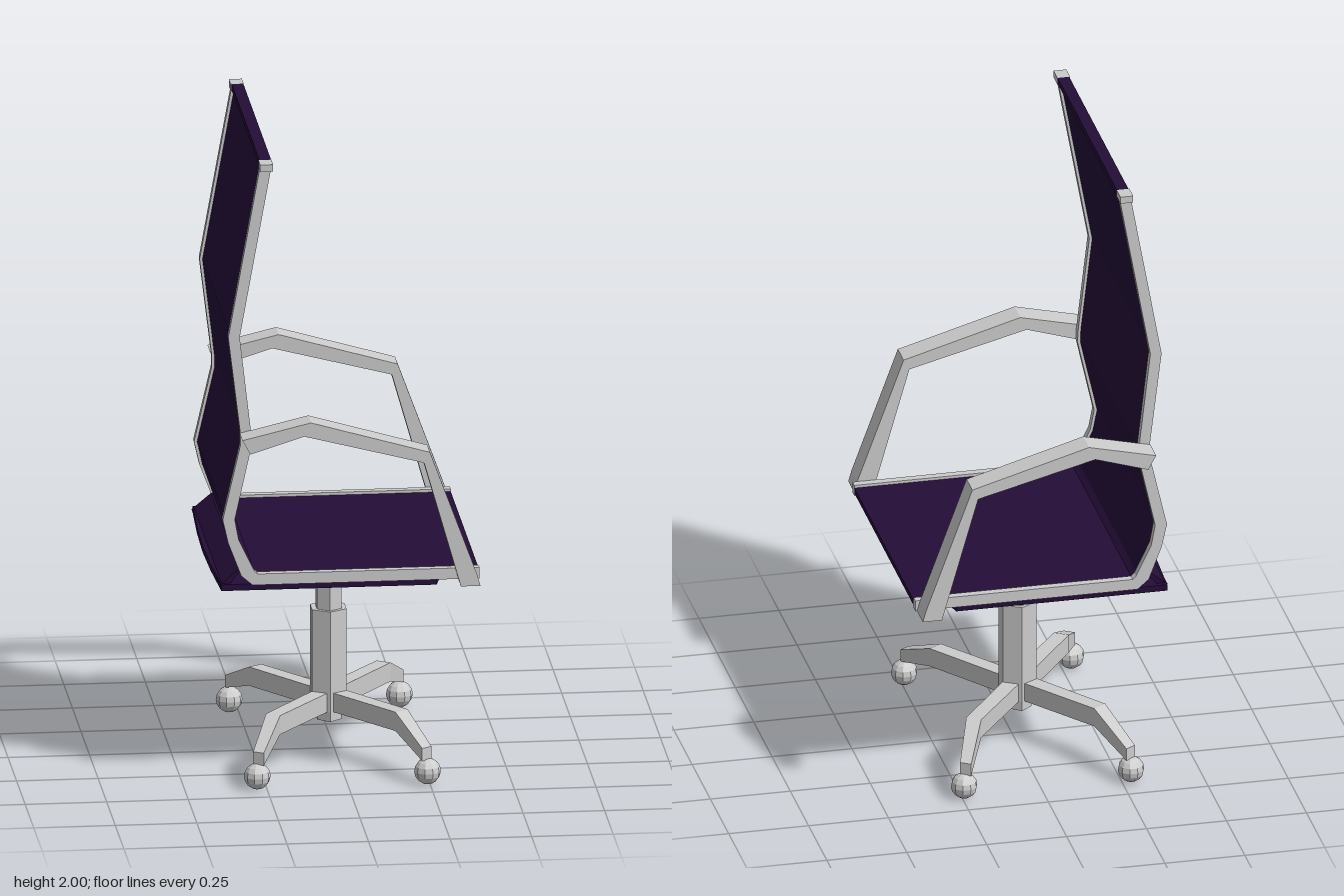
import * as THREE from 'three';

export function createModel() {
  const metal = new THREE.MeshStandardMaterial({ color: 0xcccccc });
  metal.name = 'light grey metal';
  const fabric = new THREE.MeshStandardMaterial({ color: 0x240d38 });
  fabric.name = 'dark purple fabric';

  const chair = new THREE.Group();
  chair.name = 'officeChair';

  const add = (name, geometry, material, x = 0, y = 0, z = 0) => {
    const mesh = new THREE.Mesh(geometry, material);
    mesh.name = name;
    mesh.position.set(x, y, z);
    chair.add(mesh);
    return mesh;
  };

  // Extrudes a side profile (x, y) from z0 to z1
  const slab = (points, z0, z1) => {
    const shape = new THREE.Shape(points.map(([x, y]) => new THREE.Vector2(x, y)));
    return new THREE.ExtrudeGeometry(shape, { depth: z1 - z0, bevelEnabled: false }).translate(0, 0, z0);
  };

  // Back and seat profile: rear/lower line and front/upper line
  const rear = [[-0.27, 2], [-0.37, 1.445], [-0.333, 1.14], [-0.333, 1.1], [-0.387, 0.865],
    [-0.37, 0.79], [-0.33, 0.685], [-0.295, 0.655], [0.4, 0.655]];
  const front = [[-0.235, 2], [-0.335, 1.445], [-0.3, 1.14], [-0.298, 1.1], [-0.35, 0.865],
    [-0.338, 0.8], [-0.29, 0.7], [-0.28, 0.69], [0.4, 0.69]];
  const band = (a, b) => {
    const mix = (t) => rear.map(([x, y], i) => [x + (front[i][0] - x) * t, y + (front[i][1] - y) * t]);
    return [...mix(a), ...mix(b).reverse()];
  };

  // Fabric sling for back and seat
  add('fabricSling', slab(band(0.25, 0.75), -0.405, 0.405), fabric);
  add('topHem', new THREE.BoxGeometry(0.036, 0.02, 0.81), fabric, -0.254, 1.99, 0);

  // Armrest loop profile
  const armrest = [[-0.335, 1.14], [-0.125, 1.19], [0.24, 1.085], [0.385, 0.69], [0.395, 0.655],
    [0.335, 0.655], [0.222, 1.052], [-0.145, 1.147], [-0.31, 1.095]];

  for (const side of [1, -1]) {
    const label = side > 0 ? 'Near' : 'Far';
    const span = (a, b) => (side > 0 ? [a, b] : [-b, -a]);
    add('sideFrame' + label, slab(band(0, 1), ...span(0.405, 0.43)), metal);
    add('armrest' + label, slab(armrest, ...span(0.43, 0.51)), metal);
    add('topCap' + label, new THREE.BoxGeometry(0.04, 0.022, 0.053), metal, -0.255, 1.989, side * 0.431);
  }

  // Seat pan with pointed front and slightly bowed rear edge
  const pan = slab([[-0.39, -0.42], [0.27, -0.42], [0.37, 0], [0.27, 0.42], [-0.39, 0.42],
    [-0.4, 0.2], [-0.404, 0], [-0.4, -0.2]], 0, 0.02).rotateX(-Math.PI / 2);
  add('seatPan', pan, fabric, 0, 0.636, 0);
  add('rearLip', slab([[-0.395, 0.65], [-0.365, 0.65], [-0.325, 0.7], [-0.335, 0.7]], -0.405, 0.405), fabric);

  // Hexagonal gas column
  const cx = -0.018;
  const hex = (name, r, y0, y1, material) => {
    const geometry = new THREE.CylinderGeometry(r, r, y1 - y0, 6).toNonIndexed();
    geometry.computeVertexNormals();
    return add(name, geometry, material, cx, (y0 + y1) / 2, 0);
  };
  hex('mountPlate', 0.061, 0.607, 0.638, fabric);
  hex('upperColumn', 0.049, 0.44, 0.61, metal).scale.x = 0.88;
  hex('lowerColumn', 0.061, 0.13, 0.45, metal);
  hex('hub', 0.061, 0.1, 0.19, metal).scale.x = 0.7;

  // Four bent legs on ball casters
  const wheel = new THREE.SphereGeometry(0.041, 10, 8).toNonIndexed();
  wheel.computeVertexNormals();
  // Stations along a leg: distances in x and z, bottom, top, half width
  const stations = [[0, 0, 0.13, 0.19, 0.026], [0.197, 0.262, 0.13, 0.19, 0.024], [0.258, 0.418, 0.078, 0.118, 0.018]];
  for (const sx of [1, -1]) {
    for (const sz of [1, -1]) {
      const geometry = new THREE.BoxGeometry(1, 1, 2, 1, 1, 2).toNonIndexed();
      const p = geometry.attributes.position;
      const length = Math.hypot(0.26, 0.41);
      const across = [(sz * 0.41) / length, (-sx * 0.26) / length];
      for (let i = 0; i < p.count; i++) {
        const [x, z, low, high, half] = stations[Math.round(p.getZ(i) + 1)];
        const s = Math.sign(p.getX(i)) * half;
        p.setXYZ(i, sx * x + s * across[0], p.getY(i) > 0 ? high : low, sz * z + s * across[1]);
      }
      geometry.computeVertexNormals();
      add('baseLeg', geometry, metal, cx, 0, 0);
      add('caster', wheel, metal, cx + sx * 0.261, 0.041, sz * 0.41);
    }
  }

  return chair;
}
